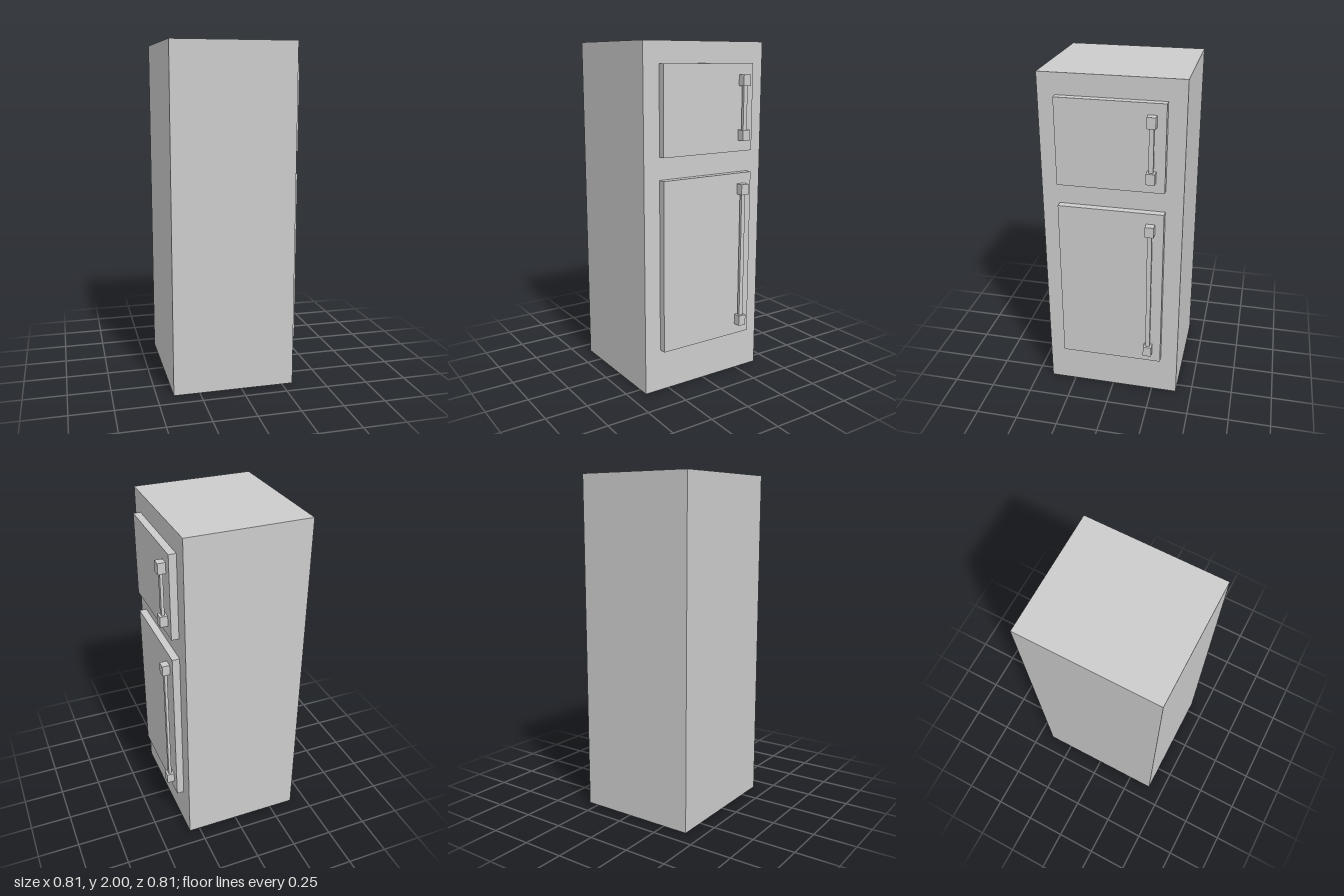
import * as THREE from 'three';

const material = new THREE.MeshStandardMaterial({ color: 0xcccccc, flatShading: true });

// Box given by its [min, max] extents along each axis
function block(name, [x0, x1], [y0, y1], [z0, z1]) {
  const mesh = new THREE.Mesh(new THREE.BoxGeometry(x1 - x0, y1 - y0, z1 - z0), material);
  mesh.name = name;
  mesh.position.set((x0 + x1) / 2, (y0 + y1) / 2, (z0 + z1) / 2);
  return mesh;
}

// Door panel with a vertical handle: a bar held between two mounts
function makeDoor(name, bottom, top) {
  const door = new THREE.Group();
  door.name = name;
  door.add(block('doorPanel', [0.315, 0.358], [bottom, top], [-0.304, 0.304]));

  const low = bottom + 0.063, high = top - 0.063, mount = 0.0625;
  const handle = new THREE.Group();
  handle.name = 'handle';
  for (const [part, y] of [['lowerMount', low], ['upperMount', high - mount]]) {
    handle.add(block(part, [0.358, 0.402], [y, y + mount], [-0.255, -0.205]));
  }
  handle.add(block('handleBar', [0.371, 0.388], [low + mount, high - mount], [-0.243, -0.217]));
  door.add(handle);
  return door;
}

export function createModel() {
  const model = new THREE.Group();
  model.name = 'refrigerator';
  model.add(block('cabinet', [-0.403, 0.315], [0, 2], [-0.404, 0.404]));
  model.add(makeDoor('freezerDoor', 1.38, 1.88));
  model.add(makeDoor('fridgeDoor', 0.252, 1.252));
  return model;
}
